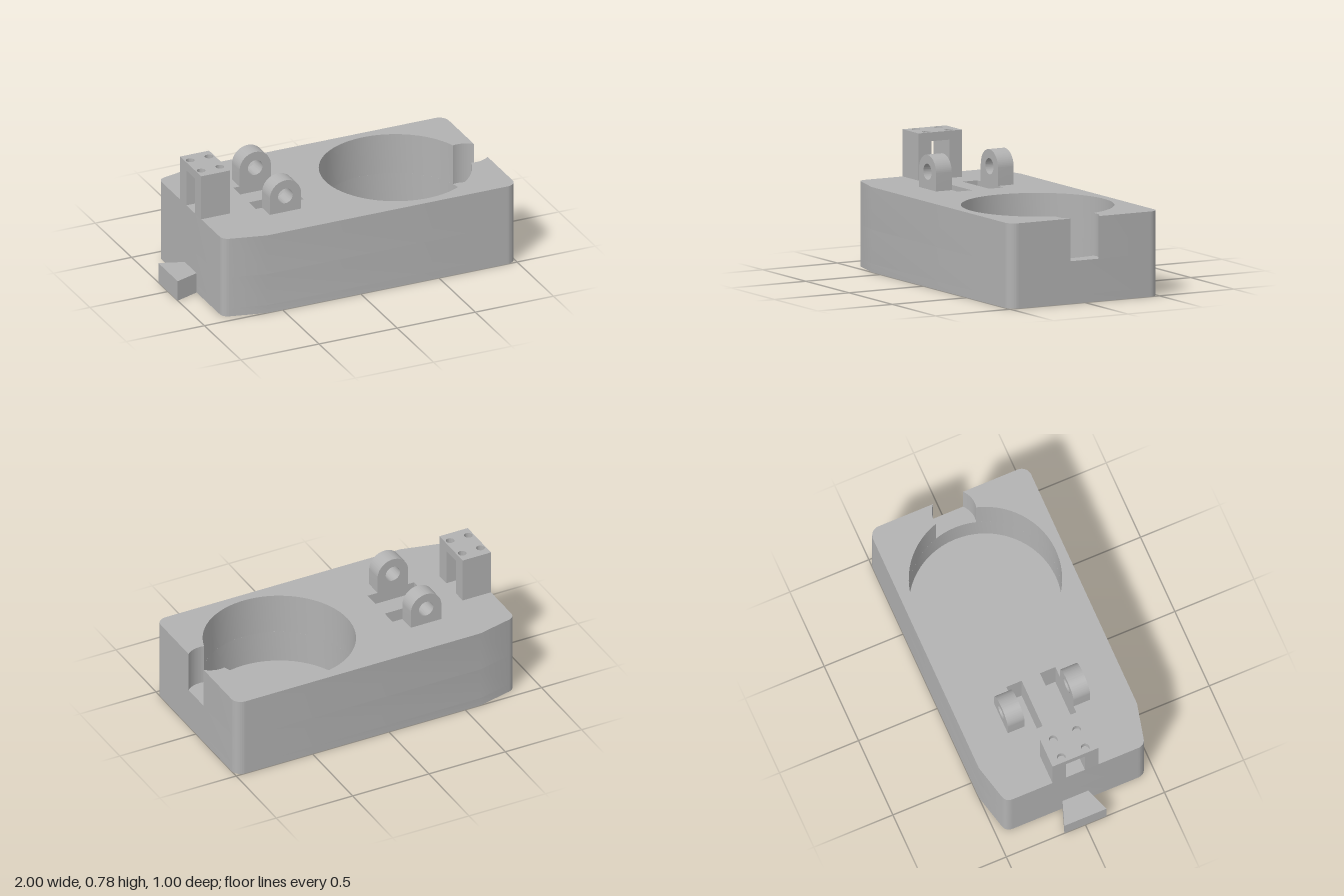
import * as THREE from 'three';
import { toCreasedNormals } from 'three/addons/utils/BufferGeometryUtils.js';

const PI = Math.PI;
const grey = new THREE.MeshStandardMaterial({ color: 0xb2b2b2 });
grey.name = 'grey';

// Big round pocket and the small round notch that opens it to the end wall
const pocket = { x: 0.455, r: 0.445 };
const notch = { x: 0.91, r: 0.13 };

function extrude(shape, depth) {
  return new THREE.ExtrudeGeometry(shape, { depth, bevelEnabled: false, curveSegments: 32 });
}

function addMesh(parent, name, geometry) {
  const mesh = new THREE.Mesh(toCreasedNormals(geometry, 0.5), grey);
  mesh.name = name;
  parent.add(mesh);
  return mesh;
}

// Extrude a plan-view shape upward from y0 to y1
function addSlab(parent, name, shape, y0, y1) {
  const geometry = extrude(shape, y1 - y0);
  geometry.rotateX(-PI / 2).translate(0, y0, 0);
  return addMesh(parent, name, geometry);
}

function circlePath(x, y, r) {
  const path = new THREE.Path();
  path.absarc(x, y, r, 0, PI * 2, true);
  return path;
}

function polygon(points) {
  return new THREE.Shape(points.map(([x, y]) => new THREE.Vector2(x, y)));
}

function rect(x0, y0, x1, y1) {
  return polygon([[x0, y0], [x1, y0], [x1, y1], [x0, y1]]);
}

// Body plan: rounded at one end, tapered at the other, optionally with the notch cut in
function bodyOutline(withNotch) {
  const s = new THREE.Shape();
  s.absarc(0.94, 0.44, 0.06, 0, PI / 2, false);
  s.lineTo(-0.6, 0.5);
  s.lineTo(-0.81, 0.45);
  s.quadraticCurveTo(-0.855, 0.44, -0.855, 0.395);
  s.lineTo(-0.855, -0.395);
  s.quadraticCurveTo(-0.855, -0.44, -0.81, -0.45);
  s.lineTo(-0.6, -0.5);
  s.absarc(0.94, -0.44, 0.06, -PI / 2, 0, false);
  if (withNotch) {
    const d = notch.x - pocket.x;
    const u = (d * d + pocket.r ** 2 - notch.r ** 2) / (2 * d);
    const v = Math.sqrt(pocket.r ** 2 - u * u);
    const mouth = Math.acos((1 - notch.x) / notch.r);
    const join = Math.atan2(v, u - d);
    const big = Math.atan2(v, u);
    s.absarc(notch.x, 0, notch.r, -mouth, -join, true);
    s.absarc(pocket.x, 0, pocket.r, -big, big - PI * 2, true);
    s.absarc(notch.x, 0, notch.r, join, mouth, true);
  }
  return s;
}

export function createModel() {
  const model = new THREE.Group();
  model.name = 'model';

  // Body in three layers: floor, pocket wall, and notched upper wall with slots
  const body = new THREE.Group();
  body.name = 'body';
  model.add(body);
  addSlab(body, 'bodyFloor', bodyOutline(false), 0, 0.05);
  const lower = bodyOutline(false);
  lower.holes.push(circlePath(pocket.x, 0, pocket.r));
  addSlab(body, 'lowerWall', lower, 0.05, 0.25);
  const upper = bodyOutline(true);
  upper.holes.push(rect(-0.51, 0.058, -0.205, 0.155), rect(-0.51, -0.155, -0.205, -0.058));
  addSlab(body, 'upperWall', upper, 0.25, 0.5);

  // Pair of round-topped lugs with pin holes
  for (const side of [-1, 1]) {
    const lug = new THREE.Shape();
    lug.moveTo(-0.47, 0.5);
    lug.lineTo(-0.27, 0.5);
    lug.absarc(-0.37, 0.602, 0.1, 0, PI, false);
    lug.holes.push(circlePath(-0.37, 0.602, 0.047));
    const geometry = extrude(lug, 0.105).translate(0, 0, side * 0.2075 - 0.0525);
    addMesh(model, side > 0 ? 'frontLug' : 'backLug', geometry);
  }

  // Gate: an arch along x, capped with a plate holding four screw holes
  const gate = new THREE.Group();
  gate.name = 'gate';
  model.add(gate);
  const arch = polygon([
    [-0.145, 0.5], [-0.06, 0.5], [-0.06, 0.725], [0.06, 0.725],
    [0.06, 0.5], [0.145, 0.5], [0.145, 0.735], [-0.145, 0.735],
  ]);
  const archGeometry = extrude(arch, 0.185).rotateY(PI / 2).translate(-0.855, 0, 0);
  addMesh(gate, 'gateArch', archGeometry);
  const plate = rect(-0.855, -0.145, -0.67, 0.145);
  for (const x of [-0.823, -0.703]) {
    for (const z of [-0.075, 0.075]) plate.holes.push(circlePath(x, z, 0.025));
  }
  addSlab(gate, 'gateTop', plate, 0.735, 0.777);

  // Dovetail tab low on the tapered end
  const tab = polygon([[-1, -0.133], [-0.85, -0.08], [-0.85, 0.08], [-1, 0.133]]);
  addSlab(model, 'dovetailTab', tab, 0, 0.125);

  return model;
}
